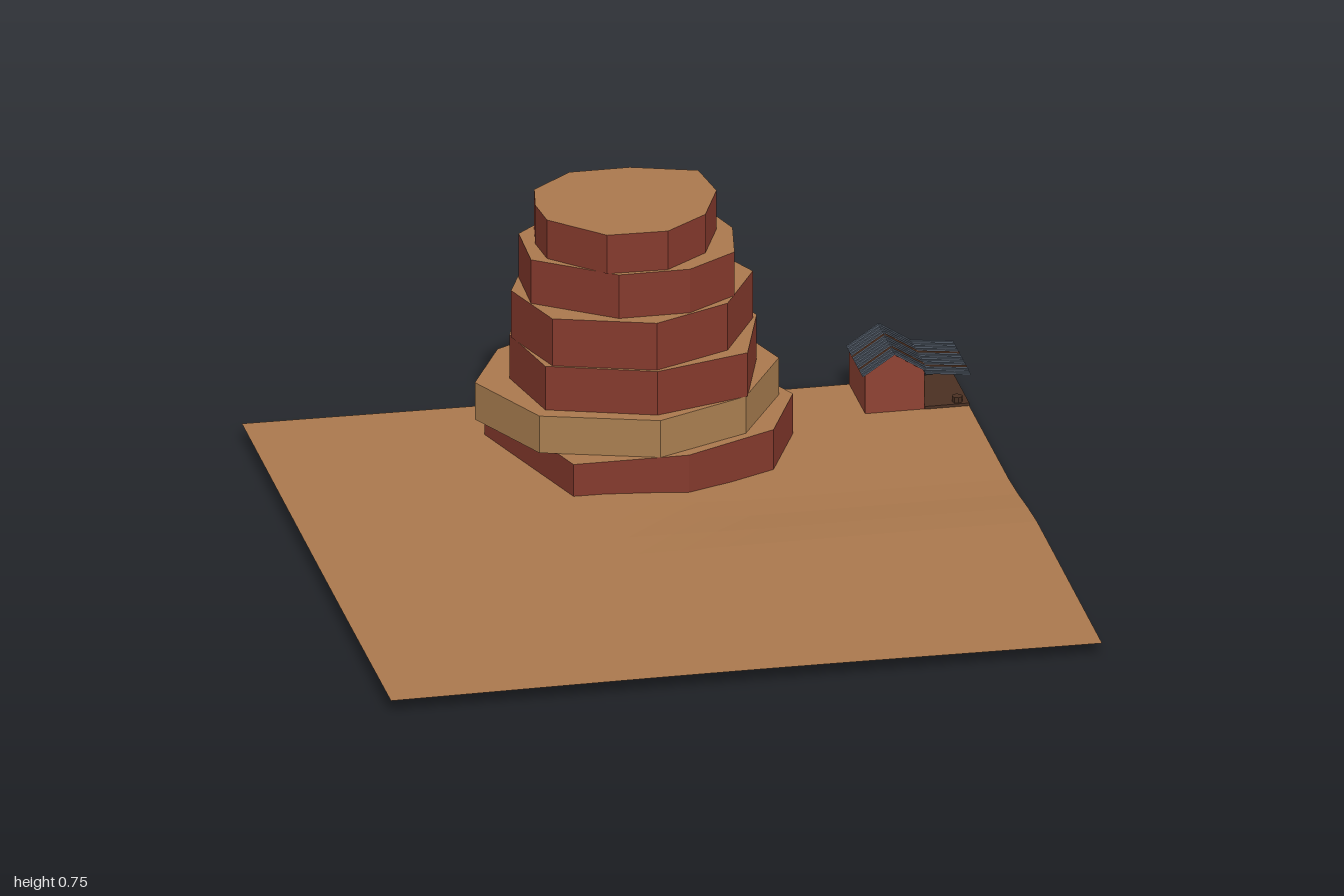
import * as THREE from 'three';

const mat = (name, color, extra = {}) => {
  const m = new THREE.MeshStandardMaterial({ color, flatShading: true, ...extra });
  m.name = name;
  return m;
};

// Keep the part of a polygon in front of the back boundary z = -1
function clipBack(points) {
  const out = [];
  points.forEach((a, i) => {
    const b = points[(i + 1) % points.length];
    if (a[1] >= -1) out.push(a);
    if ((a[1] >= -1) !== (b[1] >= -1)) {
      const t = (-1 - a[1]) / (b[1] - a[1]);
      out.push([a[0] + t * (b[0] - a[0]), -1]);
    }
  });
  return out;
}

function fromPositions(pos) {
  const g = new THREE.BufferGeometry();
  g.setAttribute('position', new THREE.Float32BufferAttribute(pos, 3));
  g.computeVertexNormals();
  return g;
}

// Rock layer: walls and caps over an [x, z] outline, open along the back boundary
function rockLayer(outline, y0, y1) {
  const pts = clipBack(outline), walls = [], caps = [];
  const cx = 0.035, cz = -0.7;
  pts.forEach((a, i) => {
    const b = pts[(i + 1) % pts.length];
    caps.push(cx, y1, cz, b[0], y1, b[1], a[0], y1, a[1]);
    caps.push(cx, y0, cz, a[0], y0, a[1], b[0], y0, b[1]);
    if (a[1] === -1 && b[1] === -1) return;
    walls.push(b[0], y0, b[1], a[0], y0, a[1], a[0], y1, a[1]);
    walls.push(b[0], y0, b[1], a[0], y1, a[1], b[0], y1, b[1]);
  });
  return [fromPositions(walls), fromPositions(caps)];
}

const smooth = (t) => THREE.MathUtils.smoothstep(t, 0, 1);

// Ground height: gentle plain sinking toward the right rear
function groundHeight(x, z) {
  const dip = smooth((x + 0.2) / 0.5) * smooth((0.15 - z) / 0.4);
  return 0.038 - 0.027 * dip + 0.003 * Math.sin(2.3 * x + 1.7 * z) * (1 - dip);
}

export function createModel() {
  const root = new THREE.Group();
  const double = { side: THREE.DoubleSide };
  const sand = mat('sand', 0xaa784d, double);
  const ledge = mat('sandstone ledge', 0xa97e50);
  const red = mat('red rock', 0x84392c);
  const paint = mat('red boards', 0x8e4232, double);
  const metal = mat('roof metal', 0x5c6674, double);
  const rust = mat('rust', 0x6e4631);
  const wood = mat('dark wood', 0x4a3022);
  const glass = mat('window tan', 0xb98d52);

  const add = (parent, name, geometry, material, x = 0, y = 0, z = 0) => {
    const m = new THREE.Mesh(geometry, material);
    m.name = name;
    m.position.set(x, y, z);
    parent.add(m);
    return m;
  };

  // Ground sheet
  const plane = new THREE.PlaneGeometry(2, 2, 16, 16).rotateX(-Math.PI / 2);
  const p = plane.attributes.position;
  for (let i = 0; i < p.count; i++) p.setY(i, groundHeight(p.getX(i), p.getZ(i)));
  plane.computeVertexNormals();
  add(root, 'ground', plane, sand);

  // Stepped rock tower, outlines as [x, z]
  const tower = new THREE.Group();
  tower.name = 'rockTower';
  root.add(tower);
  const layers = [
    [0, 0.13, [[0.485, -0.69], [0.38, -0.45], [0.115, -0.32], [-0.21, -0.32], [-0.36, -0.8], [-0.12, -1.07], [0.13, -1.05], [0.36, -0.95]]],
    [0.13, 0.24, [[0.445, -0.69], [0.3, -0.44], [0.035, -0.32], [-0.285, -0.42], [-0.41, -0.69], [-0.3, -0.91], [0.03, -1.1], [0.36, -0.95]]],
    [0.24, 0.37, [[0.385, -0.7], [0.305, -0.44], [0.035, -0.36], [-0.26, -0.46], [-0.31, -0.7], [-0.24, -0.93], [0.035, -1.01], [0.3, -0.93]]],
    [0.37, 0.51, [[0.37, -0.68], [0.255, -0.47], [0.035, -0.37], [-0.24, -0.46], [-0.31, -0.68], [-0.22, -0.9], [0.03, -0.985], [0.27, -0.9]]],
    [0.51, 0.64, [[0.315, -0.69], [0.285, -0.52], [0.14, -0.425], [-0.06, -0.425], [-0.275, -0.58], [-0.27, -0.77], [-0.09, -0.935], [0.12, -0.935], [0.27, -0.84]]],
    [0.64, 0.755, [[0.27, -0.69], [0.205, -0.53], [0.08, -0.435], [-0.09, -0.44], [-0.23, -0.58], [-0.24, -0.69], [-0.22, -0.8], [-0.1, -0.9], [0.07, -0.9], [0.25, -0.84]]],
  ];
  layers.forEach(([y0, y1, outline], i) => {
    const [walls, caps] = rockLayer(outline, y0, y1);
    add(tower, `layerWall${i + 1}`, walls, i === 1 ? ledge : red);
    add(tower, `layerTop${i + 1}`, caps, sand);
  });

  // Cabin walls: front gable and two long sides, open at the back boundary
  const cabin = new THREE.Group();
  cabin.name = 'cabin';
  root.add(cabin);
  const gable = new THREE.Shape([[0.708, 0.01], [0.875, 0.01], [0.875, 0.125], [0.79, 0.18], [0.708, 0.125]]
    .map(([x, y]) => new THREE.Vector2(x, y)));
  add(cabin, 'gableWall', new THREE.ShapeGeometry(gable), paint, 0, 0, -0.785);
  for (const [x, turn] of [[0.708, -1], [0.875, 1]]) {
    add(cabin, 'sideWall', new THREE.PlaneGeometry(0.215, 0.115).rotateY(turn * Math.PI / 2), paint, x, 0.0675, -0.8925);
  }
  for (const z of [-0.822, -0.935]) {
    add(cabin, 'window', new THREE.BoxGeometry(0.004, 0.048, 0.05), glass, 0.877, 0.065, z);
  }

  // Corrugated roof panel from (x0, y0) to (x1, y1), running back to z = -1
  const roofPanel = (name, x0, y0, x1, y1, front) => {
    const panel = new THREE.Group();
    panel.name = name;
    panel.position.set((x0 + x1) / 2, (y0 + y1) / 2, 0);
    panel.rotation.z = Math.atan2(y1 - y0, x1 - x0);
    cabin.add(panel);
    const length = Math.hypot(x1 - x0, y1 - y0), depth = front + 1;
    add(panel, 'sheet', new THREE.BoxGeometry(length, 0.004, depth), metal, 0, 0, front - depth / 2);
    for (let i = 0; i < 12; i++) {
      const z = front - (i + 0.5) * depth / 12;
      const rusty = i % 5 === 2;
      add(panel, rusty ? 'rustyRib' : 'rib', new THREE.BoxGeometry(length, 0.004, 0.006), rusty ? rust : metal, 0, 0.003, z);
    }
  };
  roofPanel('leftRoof', 0.7, 0.124, 0.79, 0.184, -0.78);
  roofPanel('rightRoof', 0.79, 0.184, 0.88, 0.126, -0.78);
  roofPanel('porchRoof', 0.872, 0.128, 0.999, 0.114, -0.76);

  // Porch floor and a small barrel
  add(cabin, 'porchFloor', new THREE.BoxGeometry(0.125, 0.008, 0.22), wood, 0.9375, 0.016, -0.89);
  add(cabin, 'barrel', new THREE.CylinderGeometry(0.015, 0.015, 0.02, 8), wood, 0.97, 0.026, -0.8);

  return root;
}
